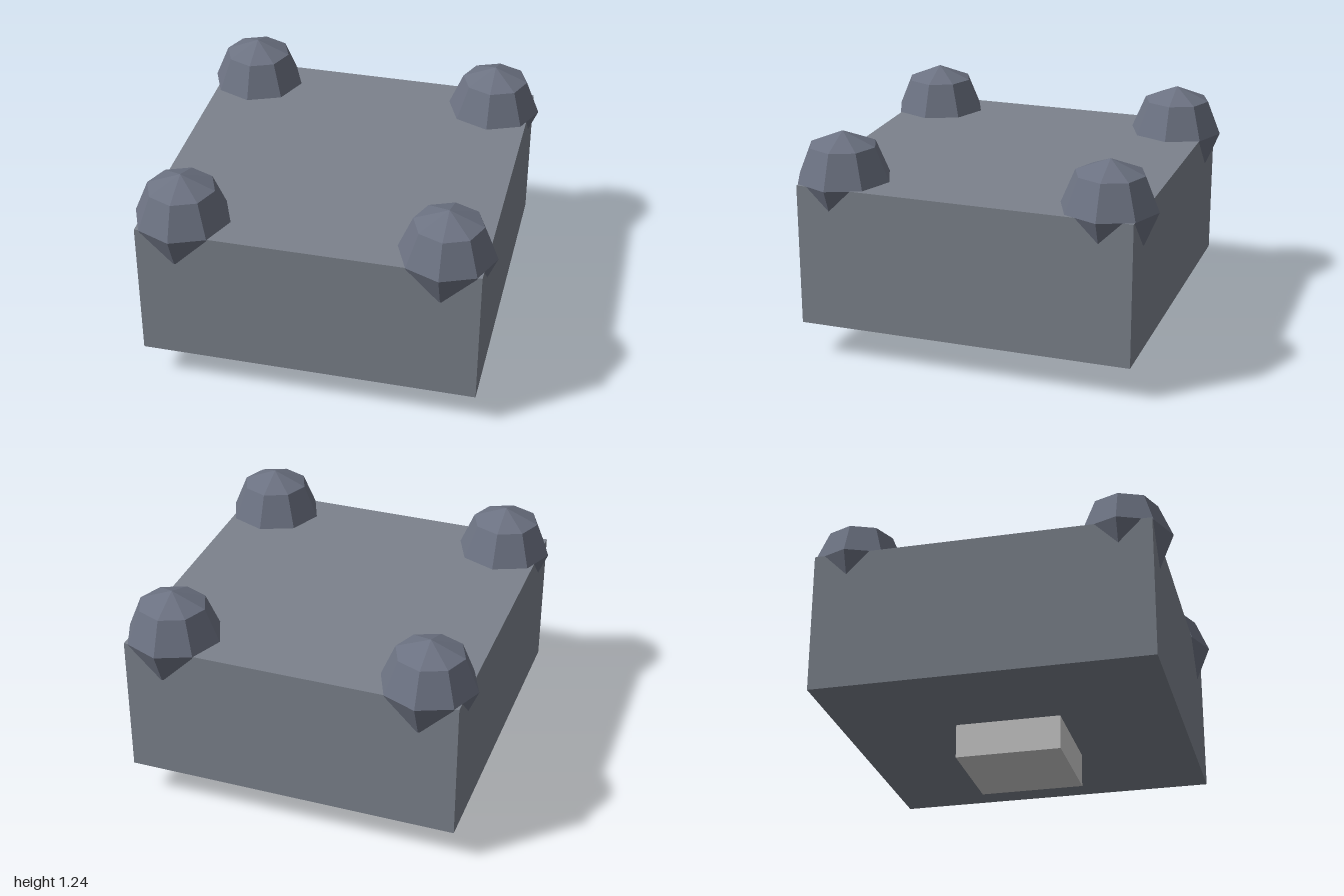
import * as THREE from 'three';

const material = (color) => new THREE.MeshStandardMaterial({ color, flatShading: true });

export function createModel() {
  const model = new THREE.Group();
  const add = (name, geometry, mat, x, y, z) => {
    const mesh = new THREE.Mesh(geometry, mat);
    mesh.name = name;
    mesh.position.set(x, y, z);
    model.add(mesh);
  };

  // Square foot under the block
  add('foot', new THREE.BoxGeometry(0.58, 0.19, 0.58), material(0xcccccc), 0, 0.095, 0);

  // Main block
  add('body', new THREE.BoxGeometry(1.84, 0.785, 1.84), material(0x7c828c), 0, 0.5825, 0);

  // Faceted ball sunk into each top corner
  const ball = new THREE.SphereGeometry(0.262, 8, 4);
  const ballMaterial = material(0x6c7282);
  for (const [sx, side] of [[1, 'Left'], [-1, 'Right']]) {
    for (const [sz, end] of [[1, 'front'], [-1, 'back']]) {
      add(`${end}${side}Ball`, ball, ballMaterial, sx * 0.71, 0.975, sz * 0.738);
    }
  }
  return model;
}
